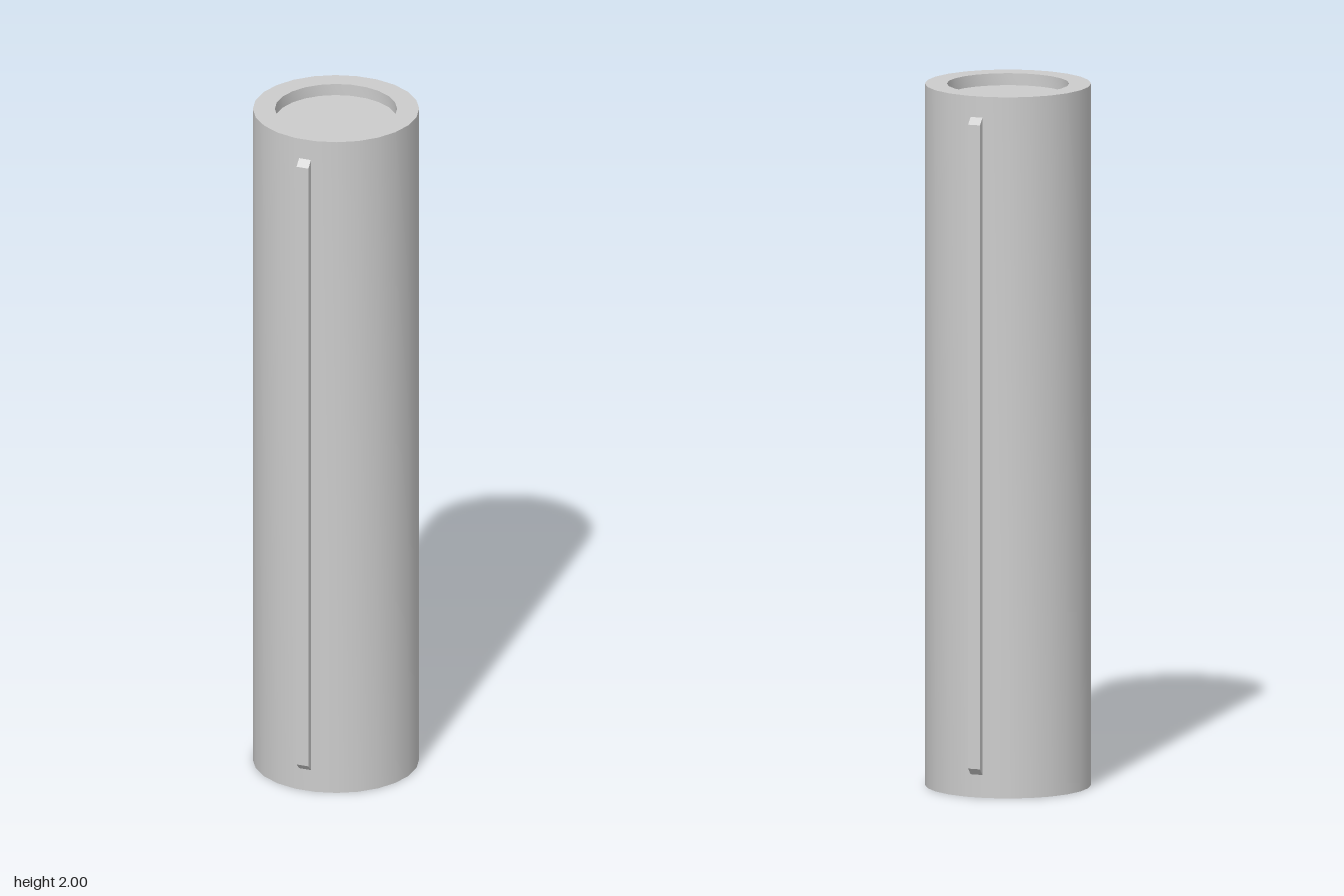
import * as THREE from 'three';
import { toCreasedNormals } from 'three/addons/utils/BufferGeometryUtils.js';

const SIDES = 24, OUTER = 0.234, INNER = 0.172, HEIGHT = 2, RECESS = 0.034;
const RAIL_WIDTH = 0.036, RAIL_FACE = 0.251, RAIL_BASE = 0.232;

const points = (list) => list.map(([x, y]) => new THREE.Vector2(x, y));

export function createModel() {
  const group = new THREE.Group();
  group.name = 'ribbedCylinder';
  const material = new THREE.MeshStandardMaterial({ color: 0xcccccc });

  // Body with a shallow round recess in each end
  const profile = points([
    [0, RECESS], [INNER, RECESS], [INNER, 0], [OUTER, 0],
    [OUTER, HEIGHT], [INNER, HEIGHT], [INNER, HEIGHT - RECESS], [0, HEIGHT - RECESS],
  ]);
  const body = new THREE.Mesh(
    toCreasedNormals(new THREE.LatheGeometry(profile, SIDES), Math.PI / 6), material);
  body.name = 'body';
  group.add(body);

  // Two opposite long rails with chamfered ends, each centred on a facet
  const railShape = new THREE.Shape(points([
    [RAIL_BASE - 0.01, 0.065], [RAIL_BASE, 0.065], [RAIL_FACE, 0.084],
    [RAIL_FACE, 1.921], [RAIL_BASE, 1.94], [RAIL_BASE - 0.01, 1.94],
  ]));
  const railGeometry = new THREE.ExtrudeGeometry(railShape, { depth: RAIL_WIDTH, bevelEnabled: false });
  railGeometry.translate(0, 0, -RAIL_WIDTH / 2);
  ['leftRail', 'rightRail'].forEach((name, i) => {
    const rail = new THREE.Mesh(railGeometry, material);
    rail.name = name;
    rail.rotation.y = Math.PI / 8 + i * Math.PI;
    group.add(rail);
  });

  return group;
}
